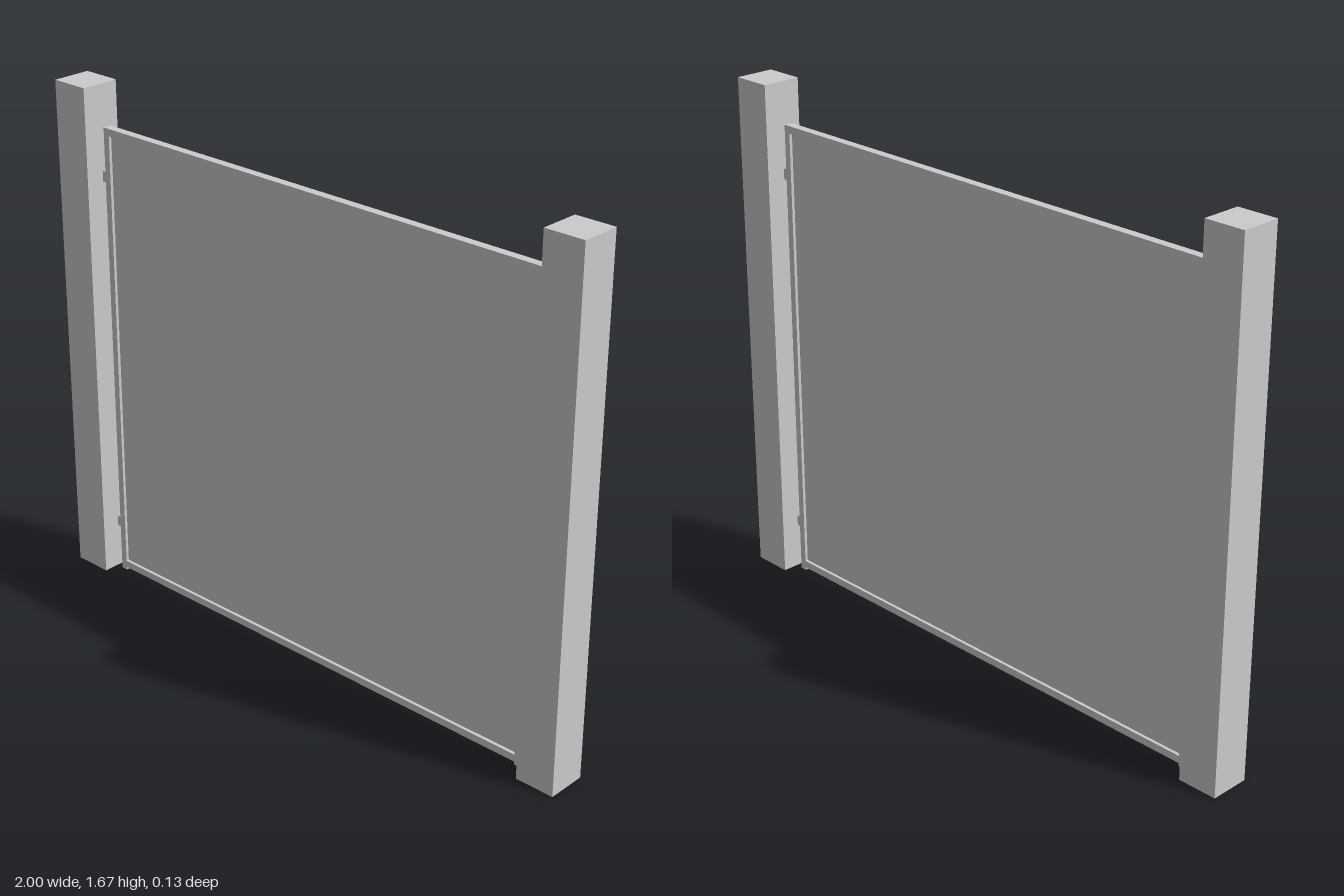
import * as THREE from 'three';

export function createModel() {
  const gate = new THREE.Group();
  gate.name = 'gate';
  const material = new THREE.MeshStandardMaterial({ color: 0xcccccc, flatShading: true });

  // Box given by its extents in x and y, centred on z = 0
  function addBox(name, x0, x1, y0, y1, depth) {
    const mesh = new THREE.Mesh(new THREE.BoxGeometry(Math.abs(x1 - x0), y1 - y0, depth), material);
    mesh.position.set((x0 + x1) / 2, (y0 + y1) / 2, 0);
    mesh.name = name;
    gate.add(mesh);
  }

  const frameDepth = 0.028;
  const outer = 0.845, inner = 0.823;

  for (const [side, s] of [['left', 1], ['right', -1]]) {
    // Square post and the upright of the gate frame
    addBox(side + 'Post', s * 0.87, s, 0, 1.667, 0.13);
    addBox(side + 'Stile', s * inner, s * outer, 0, 1.538, frameDepth);
    // Thin hinge plates bridging the gap
    addBox(side + 'LowerHinge', s * outer, s * 0.87, 0.148, 0.184, 0.006);
    addBox(side + 'UpperHinge', s * outer, s * 0.87, 1.355, 1.391, 0.006);
  }

  // Rails between the stiles
  addBox('topRail', -inner, inner, 1.514, 1.538, frameDepth);
  addBox('bottomRail', -inner, inner, 0.01, 0.034, frameDepth);

  // Recessed infill sheet
  addBox('panel', -inner, inner, 0.034, 1.514, 0.008);

  return gate;
}
